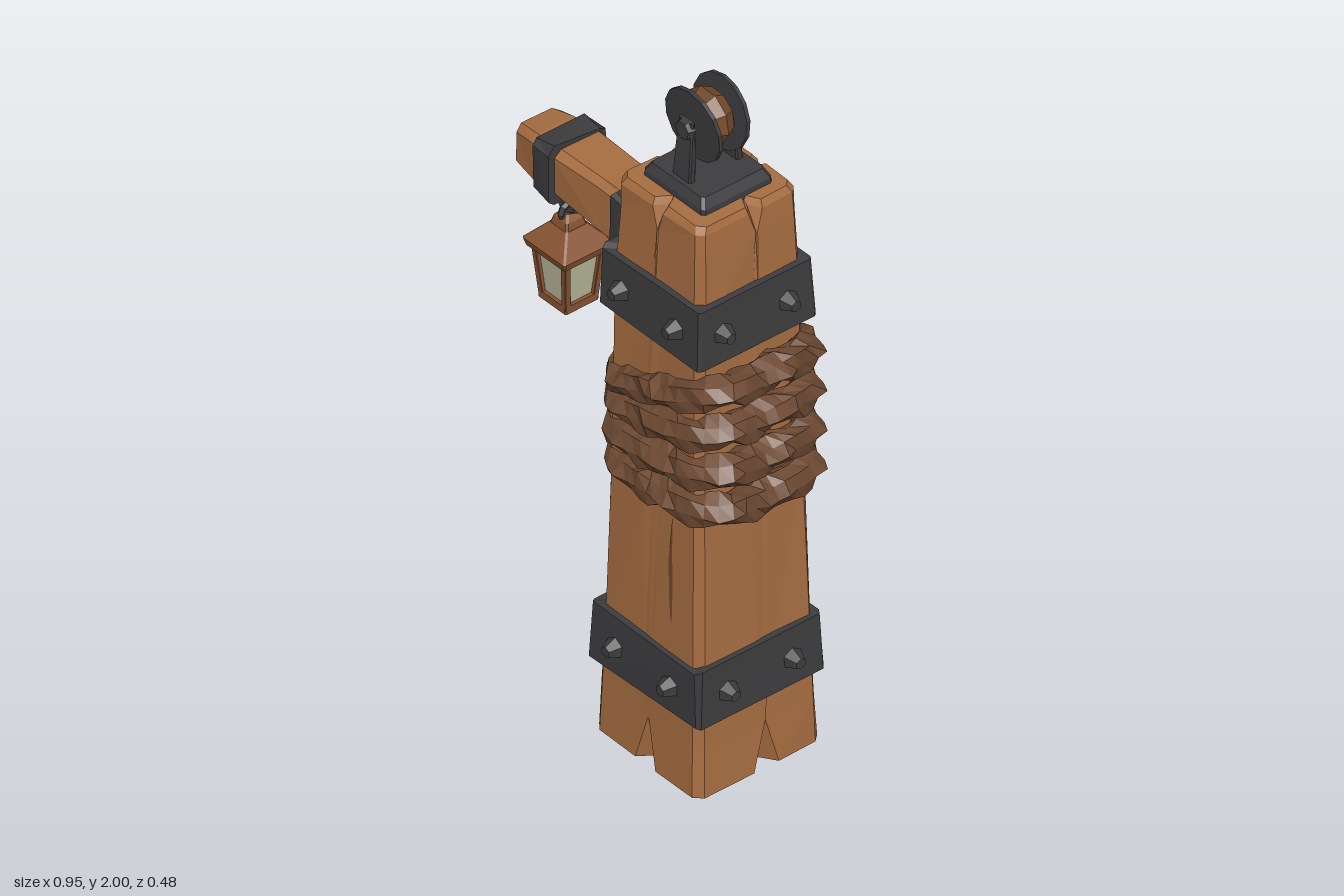
import * as THREE from 'three';

const mat = (name, color) => {
  const m = new THREE.MeshStandardMaterial({ color, flatShading: true });
  m.name = name;
  return m;
};

function seeded(seed) {
  return () => {
    seed = (seed * 16807) % 2147483647;
    return seed / 2147483647 - 0.5;
  };
}

// Skin a stack of horizontal rings, closed with a fan at each end.
function loft(rings) {
  const pos = [], n = rings[0].length;
  const tri = (...p) => p.forEach((v) => pos.push(v.x, v.y, v.z));
  const mid = (r) => r.reduce((s, v) => s.add(v), new THREE.Vector3()).divideScalar(n);
  const last = rings.length - 1, bottom = mid(rings[0]), top = mid(rings[last]);
  for (let i = 0; i < n; i++) {
    const k = (i + 1) % n;
    for (let j = 0; j < last; j++) {
      const a = rings[j][i], b = rings[j][k], c = rings[j + 1][k], d = rings[j + 1][i];
      tri(a, b, c);
      tri(a, c, d);
    }
    tri(bottom, rings[0][k], rings[0][i]);
    tri(top, rings[last][i], rings[last][k]);
  }
  const g = new THREE.BufferGeometry();
  g.setAttribute('position', new THREE.Float32BufferAttribute(pos, 3));
  g.computeVertexNormals();
  return g;
}

// Chamfered block from levels [y, halfX, halfZ], with slight hewn unevenness.
function block(levels, chamfer = 0.01, wobble = 0, seed = 7) {
  const rnd = seeded(seed);
  return loft(levels.map(([y, hx, hz]) => {
    const c = chamfer;
    return [[-hx + c, hz], [hx - c, hz], [hx, hz - c], [hx, -hz + c],
      [hx - c, -hz], [-hx + c, -hz], [-hx, -hz + c], [-hx, hz - c]]
      .map(([x, z]) => new THREE.Vector3(x + rnd() * wobble, y + rnd() * wobble, z + rnd() * wobble));
  }));
}

// Square post whose four sides carry V-shaped splits: levels [y, half, splitWidth, splitDepth].
function splitPost(levels) {
  const rnd = seeded(41);
  const shift = [0.0, 0.02, -0.02, 0.01];
  return loft(levels.map(([y, h, w, d]) => {
    const ring = [];
    for (let k = 0; k < 4; k++) {
      const s = Math.sin(k * Math.PI / 2), c = Math.cos(k * Math.PI / 2), m = shift[k];
      for (const [u, inset] of [[-h + 0.02, 0], [m - w, 0], [m, d], [m + w, 0], [h - 0.02, 0]]) {
        const o = h - inset + rnd() * 0.006;
        ring.push(new THREE.Vector3(s * o + c * u, y, c * o - s * u));
      }
    }
    return ring;
  }));
}

// One tilted loop of twisted rope around the post.
function ropeLoop(yLeft, yRight, seed) {
  const rnd = seeded(seed), N = 44, M = 7, rings = [];
  for (let i = 0; i < N; i++) {
    const a = i / N * Math.PI * 2, ca = Math.cos(a), sa = Math.sin(a);
    const q = Math.pow(Math.pow(Math.abs(ca), 4) + Math.pow(Math.abs(sa), 4), -0.25);
    const px = ca * q * 0.211, pz = sa * q * 0.178;
    const y = THREE.MathUtils.lerp(yLeft, yRight, px / 0.422 + 0.5);
    const ring = [];
    for (let j = 0; j < M; j++) {
      const t = j / M * Math.PI * 2;
      const r = 0.045 + 0.008 * Math.cos(3 * t + i * 1.3) + rnd() * 0.012;
      ring.push([px + ca * Math.cos(t) * r, y + Math.sin(t) * r, pz + sa * Math.cos(t) * r]);
    }
    rings.push(ring);
  }
  const index = [];
  for (let i = 0; i < N; i++) for (let j = 0; j < M; j++) {
    const i2 = (i + 1) % N, j2 = (j + 1) % M;
    const a = i * M + j, b = i2 * M + j, c = i2 * M + j2, d = i * M + j2;
    index.push(a, d, c, a, c, b);
  }
  const g = new THREE.BufferGeometry();
  g.setAttribute('position', new THREE.Float32BufferAttribute(rings.flat(2), 3));
  g.setIndex(index);
  g.computeVertexNormals();
  return g;
}

export function createModel() {
  const wood = mat('wood', 0xa86e42), darkWood = mat('dark wood', 0x74492c);
  const iron = mat('iron', 0x3d3d3f), rope = mat('rope', 0x6e4a33);
  const frame = mat('lantern frame', 0x865332), glass = mat('lantern glass', 0xb9b99c);
  const model = new THREE.Group();
  model.name = 'lanternPost';
  const add = (name, geo, material, x = 0, y = 0, z = 0, parent = model) => {
    const m = new THREE.Mesh(geo, material);
    m.name = name;
    m.position.set(x, y, z);
    parent.add(m);
    return m;
  };
  // Square bar between two points.
  const bar = (name, p, q, hx, hz, material, parent = model) => {
    const a = new THREE.Vector3(...p), dir = new THREE.Vector3(...q).sub(a);
    const m = add(name, block([[0, hx, hz], [dir.length(), hx, hz]], Math.min(hx, hz) * 0.2), material, ...p, parent);
    m.quaternion.setFromUnitVectors(new THREE.Vector3(0, 1, 0), dir.normalize());
    return m;
  };
  const CX = 0.188;

  // Main post
  add('post', splitPost([[0, 0.2, 0.04, 0.06], [0.14, 0.195, 0.004, 0], [0.3, 0.19, 0.02, 0],
    [0.85, 0.178, 0.03, 0], [1.4, 0.17, 0.02, 0], [1.63, 0.162, 0.003, 0],
    [1.69, 0.16, 0.022, 0.035], [1.71, 0.15, 0.026, 0.045]]), wood, CX, 0, 0.003);

  // Long drying cracks, one or two per side
  const crackShape = new THREE.Shape([[0, 0.8], [-0.012, 0.66], [-0.006, 0.55], [0.004, 0.43], [0.006, 0.58], [0.002, 0.68]]
    .map(([x, y]) => new THREE.Vector2(x, y)));
  for (let k = 0; k < 4; k++) {
    const pivot = new THREE.Group();
    pivot.name = 'crack' + (k + 1);
    pivot.position.set(CX, 0, 0.003);
    pivot.rotation.y = k * Math.PI / 2;
    const crack = add('crackPlate', new THREE.ShapeGeometry(crackShape), darkWood, [0.08, -0.05, 0.06, -0.07][k], 0, 0.1975, pivot);
    crack.rotation.x = -0.021;
    model.add(pivot);
  }

  // Iron bands with studs; the upper one has no studs behind the arm collar
  const bands = [[0.22, 0.39, 0.208, [0, 1, 2, 3]], [1.31, 1.485, 0.19, [0, 1, 2]]];
  bands.forEach(([y0, y1, h, sides], b) => {
    const name = b ? 'upperBand' : 'lowerBand';
    add(name, block([[y0, h + 0.002, h], [y1, h - 0.002, h - 0.004]], 0.012, 0.012, 5 + b), iron, CX, 0, 0.003);
    for (const k of sides) for (const u of [-0.108, 0.1]) {
      const stud = new THREE.CylinderGeometry(0.016, 0.031, 0.034, 6);
      stud.rotateX(Math.PI / 2).translate(u, 0, h + 0.014).rotateY(k * Math.PI / 2);
      add(name + 'Stud', stud, iron, CX, (y0 + y1) / 2 - 0.005, 0.003);
    }
  });

  // Rope wound round the post
  [[0.838, 0.875], [0.925, 0.995], [1.01, 1.12], [1.075, 1.245]].forEach(([l, r], i) =>
    add('ropeLoop' + (i + 1), ropeLoop(l, r, 100 + i * 37), rope, 0.208, 0, 0.003));

  // Side arm, running along x
  const arm = add('arm', block([[-0.47, 0.062, 0.07], [-0.4, 0.076, 0.077], [-0.32, 0.076, 0.077],
    [-0.15, 0.078, 0.076], [0.06, 0.082, 0.082]], 0.02, 0.008, 19), wood, 0, 1.458, -0.003);
  arm.rotation.z = -Math.PI / 2;
  const collar = add('armCollar', block([[-0.03, 0.12, 0.115], [0.03, 0.115, 0.115]], 0.015, 0.01, 23), iron, -0.024, 1.46, 0);
  collar.rotation.z = -Math.PI / 2 - 0.05;
  const strap = add('armStrap', block([[-0.034, 0.085, 0.088], [0.034, 0.09, 0.092]], 0.02, 0.012, 29), iron, -0.346, 1.46, 0);
  strap.rotation.z = -Math.PI / 2;
  bar('armBrace', [0.05, 1.16, 0], [-0.19, 1.41, 0], 0.028, 0.035, wood);

  // Pulley on top
  add('pulleyPlate', block([[1.7, 0.118, 0.114], [1.725, 0.116, 0.112], [1.75, 0.1, 0.1]], 0.008), iron, 0.185, 0, 0);
  const wheel = new THREE.CylinderGeometry(0.065, 0.082, 0.032, 9).rotateX(Math.PI / 2);
  for (const s of [1, -1]) {
    const half = add('pulleyWheel', wheel, darkWood, 0.185, 1.9, s * 0.016);
    if (s < 0) half.rotation.y = Math.PI;
    const disc = add('pulleyDisc', new THREE.CylinderGeometry(0.105, 0.105, 0.011, 14), iron, 0.185, 1.895, s * 0.044);
    disc.rotation.x = Math.PI / 2 + s * 0.08;
    const bracket = add('pulleyBracket', block([[0, 0.034, 0.011], [0.1, 0.031, 0.009], [0.18, 0.026, 0.006]], 0.004), iron, 0.185, 1.74, s * 0.077);
    bracket.rotation.x = -s * 0.06;
    const bolt = add('pulleyBolt', new THREE.CylinderGeometry(0.026, 0.032, 0.02, 7), iron, 0.185, 1.895, s * 0.074);
    bolt.rotation.x = s * Math.PI / 2;
  }

  // Hanging lantern
  const lantern = new THREE.Group();
  lantern.name = 'lantern';
  lantern.position.set(-0.349, 0, 0);
  model.add(lantern);
  add('hangerRing', new THREE.TorusGeometry(0.036, 0.012, 5, 9), iron, 0, 1.342, 0, lantern);
  add('chainLink', new THREE.TorusGeometry(0.024, 0.01, 5, 8).rotateY(Math.PI / 2), iron, 0, 1.3, 0, lantern);
  add('lanternCap', block([[1.262, 0.034, 0.034], [1.285, 0.028, 0.028], [1.3, 0.014, 0.014]], 0.005), frame, 0, 0, 0, lantern);
  add('lanternRoof', block([[1.19, 0.076, 0.076], [1.212, 0.082, 0.082], [1.265, 0.034, 0.034]], 0.005), frame, 0, 0, 0, lantern);
  add('lanternGlass', block([[1.05, 0.043, 0.043], [1.195, 0.056, 0.056]], 0.004), glass, 0, 0, 0, lantern);
  add('lanternBase', block([[1.033, 0.054, 0.054], [1.055, 0.054, 0.054]], 0.004), frame, 0, 0, 0, lantern);
  for (const sx of [1, -1]) for (const sz of [1, -1])
    bar('lanternCorner', [sx * 0.044, 1.04, sz * 0.044], [sx * 0.058, 1.2, sz * 0.058], 0.009, 0.009, frame, lantern);

  return model;
}
